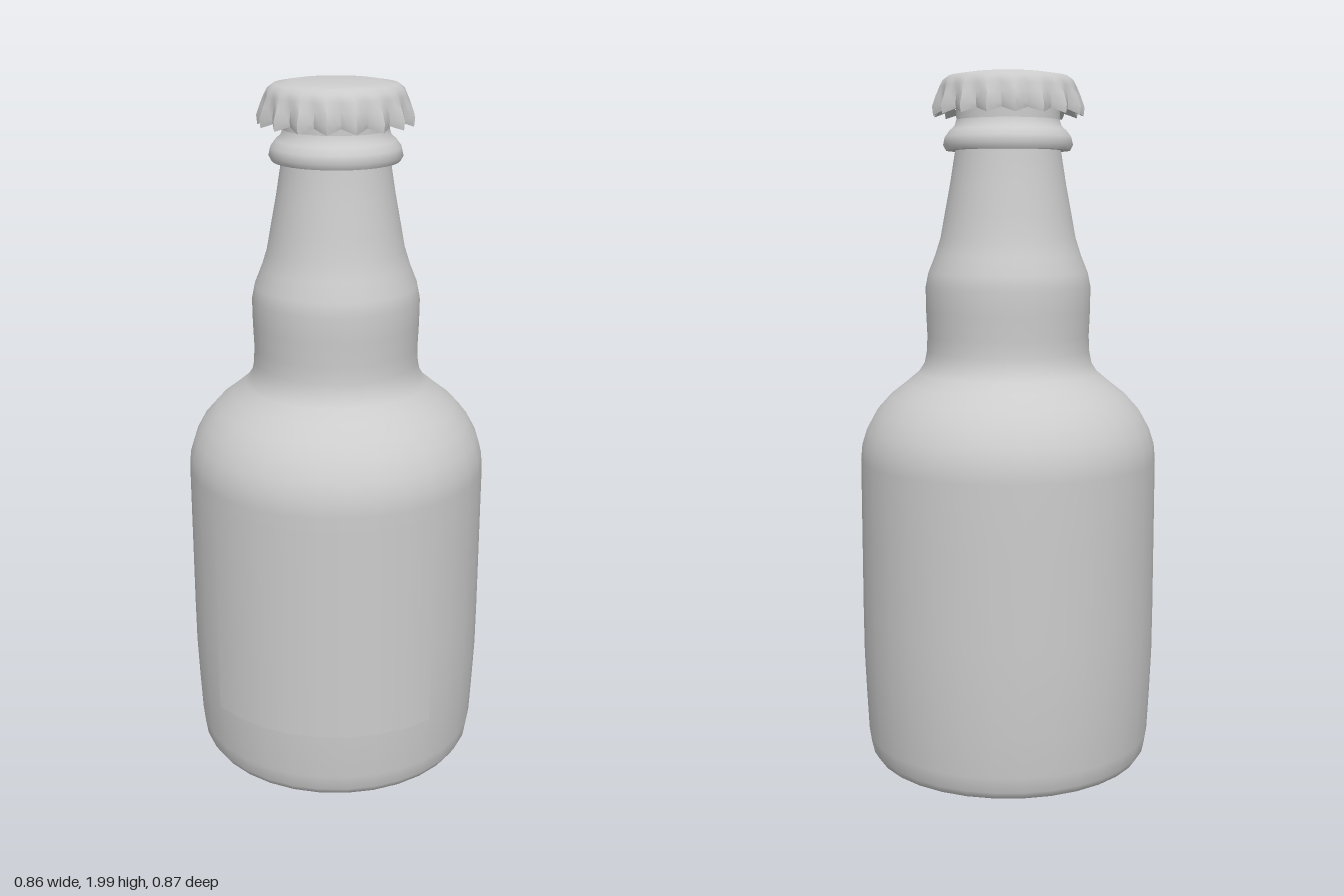
import * as THREE from 'three';
import { mergeVertices, toCreasedNormals } from 'three/addons/utils/BufferGeometryUtils.js';

const SIDES = 32;
const FLUTES = 17;

const grey = () => new THREE.MeshStandardMaterial({ color: 0xcccccc });

// Revolve [radius, height] pairs, listed from bottom to top
function lathe(profile, sides) {
  return new THREE.LatheGeometry(profile.map(([r, y]) => new THREE.Vector2(r, y)), sides);
}

function addPart(group, name, geometry) {
  const mesh = new THREE.Mesh(geometry, grey());
  mesh.name = name;
  group.add(mesh);
  return mesh;
}

// Crown cap: a lathe whose skirt is pushed in and out in a wave
function capGeometry() {
  const geo = lathe([
    [0.15, 1.9], [0.185, 1.895], [0.203, 1.887], [0.206, 1.905], [0.199, 1.935],
    [0.193, 1.96], [0.186, 1.978], [0.17, 1.99], [0.12, 1.998], [0, 2],
  ], FLUTES * 4);
  const pos = geo.attributes.position;
  for (let i = 0; i < pos.count; i++) {
    const x = pos.getX(i), y = pos.getY(i), z = pos.getZ(i);
    const r = Math.hypot(x, z);
    if (r < 0.18) continue;
    const depth = 0.011 * THREE.MathUtils.clamp((1.975 - y) / 0.06, 0, 1);
    const wave = Math.cos(Math.atan2(x, z) * FLUTES);
    const k = (r + depth * wave) / r;
    const drop = y < 1.9 ? 0.007 * wave : 0;
    pos.setXYZ(i, x * k, y - drop, z * k);
  }
  geo.deleteAttribute('uv');
  geo.deleteAttribute('normal');
  return toCreasedNormals(mergeVertices(geo, 1e-5), 0.75);
}

export function createModel() {
  const bottle = new THREE.Group();
  bottle.name = 'bottle';

  // Body, shoulder and bulged neck in one smooth profile
  addPart(bottle, 'body', lathe([
    [0, 0.008], [0.3, 0.008], [0.375, 0.008], [0.398, 0.014], [0.411, 0.035], [0.418, 0.08],
    [0.424, 0.2], [0.429, 0.32], [0.43, 0.45], [0.43, 0.7], [0.43, 0.9],
    [0.426, 0.945], [0.412, 0.99], [0.385, 1.04], [0.345, 1.085], [0.298, 1.122],
    [0.262, 1.152], [0.243, 1.18], [0.236, 1.215], [0.234, 1.26], [0.237, 1.33],
    [0.238, 1.4], [0.23, 1.44], [0.21, 1.49], [0.194, 1.54], [0.183, 1.6],
    [0.166, 1.69], [0.15, 1.79], [0.147, 1.84], [0.147, 1.92],
  ], SIDES));

  // Flared ring below the cap, with a crisp underside
  addPart(bottle, 'neckRing', toCreasedNormals(lathe([
    [0.145, 1.785], [0.177, 1.785], [0.185, 1.8], [0.18, 1.822],
    [0.165, 1.842], [0.152, 1.853], [0.147, 1.87],
  ], SIDES), 0.9));

  addPart(bottle, 'cap', capGeometry());

  // Curved label wrapped around a quarter of the front
  const label = addPart(bottle, 'label', new THREE.CylinderGeometry(
    0.435, 0.435, 0.64, 8, 1, true, -Math.PI / 4, Math.PI / 2));
  label.position.y = 0.545;
  label.material.side = THREE.DoubleSide;

  return bottle;
}
